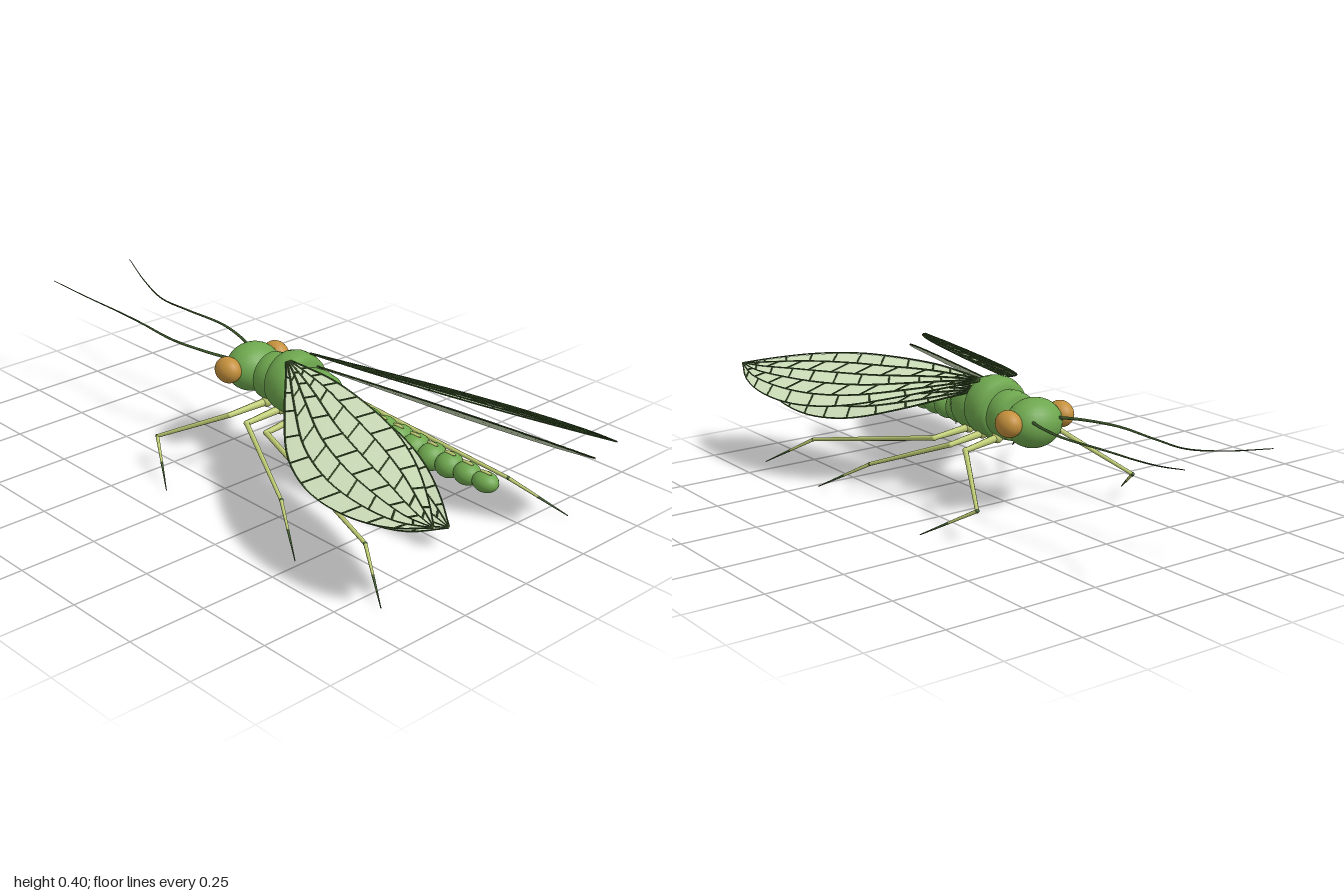
import * as THREE from 'three';

const mat = (name, color, side = THREE.FrontSide) => {
  const m = new THREE.MeshStandardMaterial({ color, side });
  m.name = name;
  return m;
};
const V = (x, y, z) => new THREE.Vector3(x, y, z);

export function createModel() {
  const model = new THREE.Group();
  model.name = 'lacewing';
  const green = mat('bodyGreen', 0x6ea74e);
  const amber = mat('eyeAmber', 0xc4903c);
  const straw = mat('legStraw', 0xbecb72);
  const dark = mat('veinDarkGreen', 0x3f5c2c);
  const membrane = mat('wingPaleGreen', 0xd4e6c0, THREE.DoubleSide);

  const add = (name, geometry, material, parent = model) => {
    const mesh = new THREE.Mesh(geometry, material);
    mesh.name = name;
    parent.add(mesh);
    return mesh;
  };
  const ball = (name, material, p, r, parent) => {
    const mesh = add(name, new THREE.SphereGeometry(1, 24, 16), material, parent);
    mesh.position.set(...p);
    mesh.scale.set(...r);
    return mesh;
  };
  // Round body section along z; profile is [z, radius] pairs
  const barrel = (name, y, profile) => {
    const pts = profile.map(([z, r]) => new THREE.Vector2(r, z));
    const geo = new THREE.LatheGeometry(pts, 32).rotateX(Math.PI / 2);
    add(name, geo, green).position.y = y;
  };
  // Tube whose radius changes evenly from r0 to r1
  const taperTube = (name, curve, r0, r1, material, parent, n = 40, sides = 8) => {
    const geo = new THREE.TubeGeometry(curve, n, 1, sides);
    const pos = geo.attributes.position;
    const p = new THREE.Vector3();
    for (let i = 0; i <= n; i++) {
      const c = curve.getPointAt(i / n);
      const r = THREE.MathUtils.lerp(r0, r1, i / n);
      for (let j = 0; j <= sides; j++) {
        const k = i * (sides + 1) + j;
        p.fromBufferAttribute(pos, k).sub(c).multiplyScalar(r).add(c);
        pos.setXYZ(k, p.x, p.y, p.z);
      }
    }
    return add(name, geo, material, parent);
  };

  // Head and thorax
  ball('head', green, [0, 0.292, -0.15], [0.093, 0.078, 0.08]);
  barrel('prothorax', 0.29, [[-0.078, 0], [-0.076, 0.064], [-0.066, 0.076], [-0.035, 0.08], [-0.005, 0.076], [0.01, 0.07], [0.012, 0]]);
  barrel('mesothorax', 0.3, [[-0.012, 0], [-0.01, 0.075], [0.005, 0.092], [0.03, 0.1], [0.06, 0.1], [0.085, 0.094], [0.1, 0.08], [0.102, 0]]);
  barrel('metathorax', 0.285, [[0.085, 0], [0.086, 0.07], [0.105, 0.08], [0.14, 0.083], [0.18, 0.077], [0.21, 0.06], [0.222, 0]]);

  // Beaded abdomen with a pale mark on the back of each segment
  for (let i = 0; i < 10; i++) {
    const t = i / 9;
    const r = 0.065 - 0.031 * Math.pow(t, 1.4);
    const y = 0.266 - 0.012 * t;
    const z = 0.22 + 0.068 * i;
    ball('abdomenSegment', green, [0, y, z], [r, r * 0.87, 0.042]);
    ball('abdomenMark', straw, [0, y + r * 0.85, z], [0.006, 0.005, 0.022]);
  }

  // Wing sheet between a leading and a trailing edge, lying on a sloping plane
  const wing = (name, side, lead, trail, height) => {
    const group = new THREE.Group();
    group.name = name;
    model.add(group);
    const edge = pts => new THREE.CatmullRomCurve3(pts.map(([x, z]) => V(x, 0, z)));
    const a = edge(lead), b = edge(trail);
    const at = (u, v, lift = 0) => {
      const p = a.getPoint(u).lerp(b.getPoint(u), v);
      p.y = height(p.x, p.z) + 0.004 * Math.sin(Math.PI * v) * Math.sin(Math.PI * u) + lift;
      p.x *= side;
      return p;
    };
    const nu = 28, nv = 10, geo = new THREE.PlaneGeometry(1, 1, nv, nu);
    const pos = geo.attributes.position;
    for (let i = 0; i <= nu; i++) for (let j = 0; j <= nv; j++) {
      // Across-order follows the side so the upper face is the front
      const p = at(i / nu, side > 0 ? 1 - j / nv : j / nv);
      pos.setXYZ(i * (nv + 1) + j, p.x, p.y, p.z);
    }
    geo.computeVertexNormals();
    add('membrane', geo, membrane, group);

    // Long veins, then zigzag cross veins
    const bands = 5;
    for (let k = 0; k <= bands; k++) {
      const pts = Array.from({ length: 29 }, (_, i) => at(i / 28, k / bands, 0.003));
      taperTube('longVein', new THREE.CatmullRomCurve3(pts), 0.003, 0.002, dark, group, 28, 4);
    }
    for (let k = 0; k < bands; k++) for (let i = 1; i < 11; i++) {
      const u = (i + 0.4 + (k % 2) * 0.3) / 11.8;
      const slant = k % 2 ? -0.012 : 0.012;
      const line = new THREE.LineCurve3(at(u - slant, k / bands, 0.003), at(u + slant, (k + 1) / bands, 0.003));
      add('crossVein', new THREE.TubeGeometry(line, 1, 0.0026, 4), dark, group);
    }
  };

  // Leg joints from body to foot
  const legs = {
    frontLeg: [[0.05, 0.225, -0.03], [0.185, 0.212, -0.05], [0.3, 0.1, -0.268], [0.395, 0.001, -0.107]],
    middleLeg: [[0.055, 0.225, 0.04], [0.185, 0.212, 0.03], [0.3, 0.1, 0.315], [0.395, 0.001, 0.48]],
    hindLeg: [[0.05, 0.225, 0.12], [0.185, 0.212, 0.12], [0.3, 0.1, 0.665], [0.395, 0.001, 0.825]],
  };
  const radii = [0.013, 0.0085, 0.006, 0.004, 0.0015];

  for (const side of [1, -1]) {
    const word = side > 0 ? 'left' : 'right';
    ball(word + 'Eye', amber, [side * 0.1, 0.305, -0.155], [0.038, 0.042, 0.048]);

    // Antenna
    const path = [[0.045, 0.312, -0.2], [0.075, 0.318, -0.28], [0.103, 0.324, -0.42], [0.094, 0.327, -0.6],
      [0.092, 0.33, -0.73], [0.12, 0.35, -0.86], [0.162, 0.383, -1]];
    taperTube(word + 'Antenna', new THREE.CatmullRomCurve3(path.map(([x, y, z]) => V(side * x, y, z))), 0.005, 0.0012, dark, model);

    for (const [name, pts] of Object.entries(legs)) {
      const leg = new THREE.Group();
      leg.name = word + name[0].toUpperCase() + name.slice(1);
      model.add(leg);
      const p = pts.map(([x, y, z]) => V(side * x, y, z));
      // The lower half of the last length is a dark foot
      p.splice(3, 0, p[2].clone().lerp(p[3], 0.5));
      for (let i = 0; i < 4; i++) {
        const name = ['thigh', 'shin', 'ankle', 'foot'][i];
        taperTube(name, new THREE.LineCurve3(p[i], p[i + 1]), radii[i], radii[i + 1], i < 3 ? straw : dark, leg, 2);
        const r = i ? radii[i] * 1.1 : 0.018;
        ball(i ? 'joint' : 'hip', i < 2 ? straw : dark, p[i].toArray(), [r, r, r], leg);
      }
    }

    wing(word + 'Forewing', side,
      [[0.05, 0.06], [0.12, 0.135], [0.22, 0.24], [0.35, 0.4], [0.42, 0.56], [0.443, 0.73], [0.426, 0.88], [0.38, 0.99]],
      [[0.04, 0.07], [0.046, 0.16], [0.058, 0.28], [0.098, 0.46], [0.148, 0.62], [0.22, 0.77], [0.31, 0.905], [0.378, 0.99]],
      (x, z) => 0.384 - 0.425 * (x - 0.05) + 0.07 * (z - 0.07));
    wing(word + 'Hindwing', side,
      [[0.055, 0.09], [0.12, 0.17], [0.2, 0.27], [0.3, 0.42], [0.352, 0.57], [0.366, 0.72], [0.35, 0.87], [0.305, 0.975]],
      [[0.042, 0.1], [0.046, 0.18], [0.054, 0.28], [0.08, 0.45], [0.116, 0.61], [0.172, 0.76], [0.237, 0.88], [0.302, 0.975]],
      (x, z) => 0.35 - 0.61 * (x - 0.05) + 0.092 * (z - 0.1));
  }
  return model;
}
